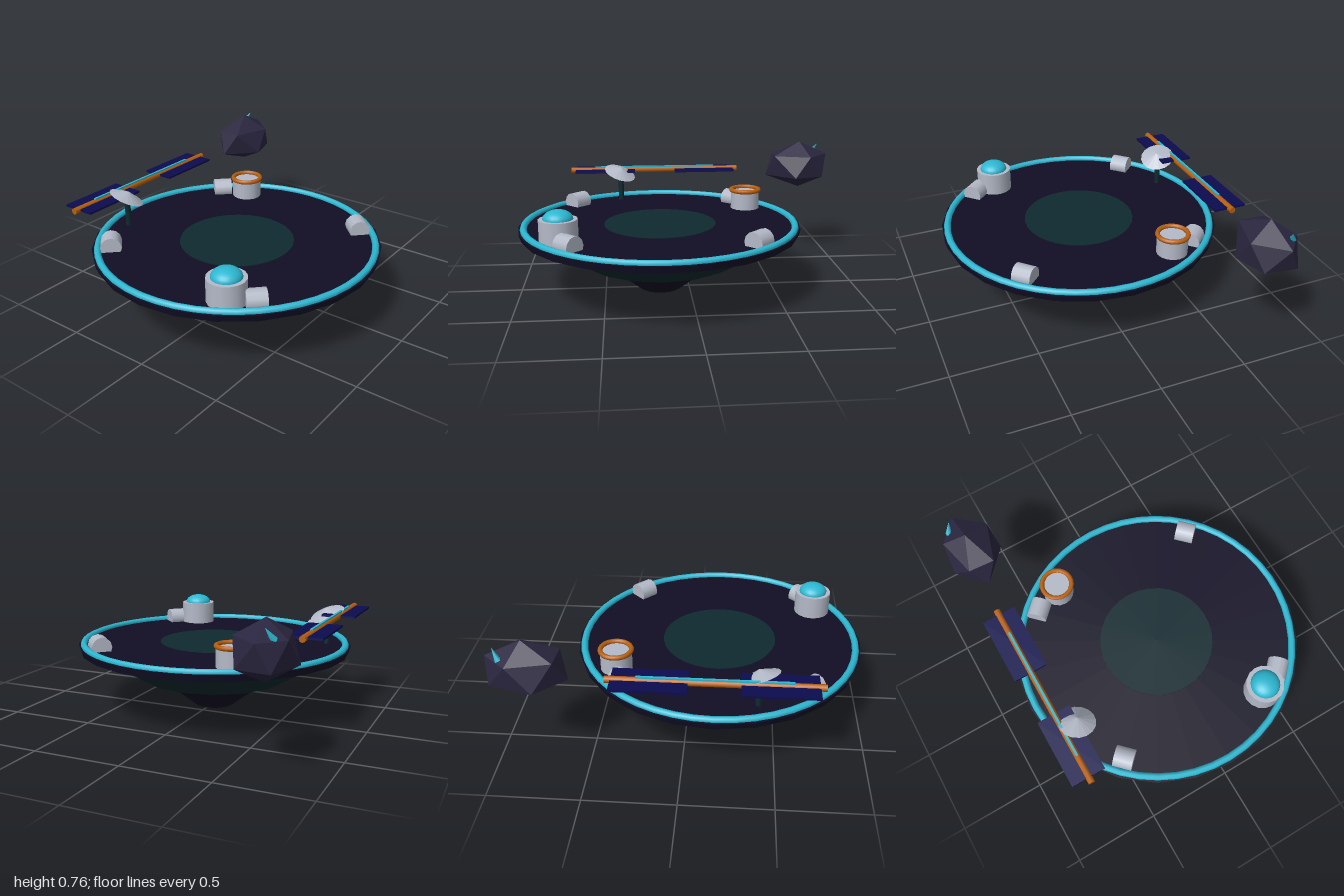
import * as THREE from 'three';
import { ConvexGeometry } from 'three/addons/geometries/ConvexGeometry.js';

const makeMaterial = (name, color, flatShading = false, side = THREE.FrontSide) => {
  const m = new THREE.MeshStandardMaterial({ color, flatShading, side });
  m.name = name;
  return m;
};

export function createModel() {
  const hull = makeMaterial('dark hull', 0x110e26);
  const teal = makeMaterial('dark teal', 0x0f2a30);
  const cyan = makeMaterial('cyan glow', 0x2cb8d2);
  const grey = makeMaterial('pale metal', 0xb4bac8);
  const dishGrey = makeMaterial('dish metal', 0xb4bac8, true, THREE.DoubleSide);
  const orange = makeMaterial('orange metal', 0xb8600f);
  const navy = makeMaterial('solar navy', 0x0c0c50);
  const rock = makeMaterial('rock', 0x2a2640, true);

  const model = new THREE.Group();
  const add = (parent, name, geometry, material, x = 0, y = 0, z = 0) => {
    const mesh = new THREE.Mesh(geometry, material);
    mesh.name = name;
    mesh.position.set(x, y, z);
    parent.add(mesh);
    return mesh;
  };
  // upright cylinder given by its bottom and top heights
  const drum = (parent, name, rTop, rBottom, y0, y1, sides, material, x = 0, z = 0) =>
    add(parent, name, new THREE.CylinderGeometry(rTop, rBottom, y1 - y0, sides), material, x, (y0 + y1) / 2, z);

  // Platform, all parts centred on its own axis
  const station = new THREE.Group();
  station.name = 'station';
  station.position.x = -0.172;
  model.add(station);
  drum(station, 'deck', 0.828, 0.815, 0.355, 0.395, 24, hull);
  drum(station, 'deckCentre', 0.33, 0.33, 0.393, 0.399, 32, teal);
  drum(station, 'upperHull', 0.73, 0.45, 0.18, 0.345, 16, teal);
  drum(station, 'lowerHull', 0.35, 0.12, 0, 0.18, 12, hull);
  add(station, 'rimLight', new THREE.TorusGeometry(0.795, 0.02, 8, 48), cyan, 0, 0.4, 0).rotation.x = Math.PI / 2;

  // Four docking drums lying along the rim
  for (let i = 0; i < 4; i++) {
    const a = Math.PI / 4 + (i * Math.PI) / 2;
    const dock = new THREE.Group();
    dock.name = 'dockingPort';
    dock.position.set(Math.sin(a) * 0.717, 0.42, Math.cos(a) * 0.717);
    dock.rotation.y = a;
    add(dock, 'portDrum', new THREE.CylinderGeometry(0.06, 0.06, 0.11, 12), grey).rotation.z = Math.PI / 2;
    station.add(dock);
  }

  // Domed habitat
  drum(model, 'habitat', 0.107, 0.107, 0.39, 0.53, 16, grey, -0.737, 0.37);
  const dome = new THREE.SphereGeometry(0.083, 20, 8, 0, Math.PI * 2, 0, Math.PI / 2);
  add(model, 'habitatDome', dome, cyan, -0.737, 0.53, 0.37).scale.y = 0.62;

  // Ringed tank
  drum(model, 'tank', 0.09, 0.09, 0.39, 0.505, 16, grey, 0.39, -0.35);
  add(model, 'tankRing', new THREE.TorusGeometry(0.087, 0.014, 8, 24), orange, 0.39, 0.512, -0.35).rotation.x = Math.PI / 2;

  // Antenna mast and tilted dish
  drum(model, 'antennaMast', 0.017, 0.017, 0.39, 0.58, 8, teal, -0.4, -0.645);
  const dish = add(model, 'antennaDish', new THREE.ConeGeometry(0.105, 0.04, 16, 1, true), dishGrey, -0.4, 0.593, -0.637);
  dish.rotation.set(0.3, 0, -0.32);

  // Solar array: boom, light strip and two panels
  add(model, 'solarBoom', new THREE.CylinderGeometry(0.019, 0.019, 1.12, 8), orange, -0.172, 0.58, -0.73).rotation.z = Math.PI / 2;
  add(model, 'boomLight', new THREE.BoxGeometry(0.8, 0.009, 0.014), cyan, -0.172, 0.6, -0.73);
  for (const x of [-0.503, 0.16])
    add(model, 'solarPanel', new THREE.BoxGeometry(0.395, 0.012, 0.197), navy, x, 0.58, -0.732);

  // Drifting rock: two poles and two staggered rings of five
  const upper = [[1, -0.7], [0.86, -0.54], [0.63, -0.61], [0.64, -0.76], [0.87, -0.815]];
  const lower = [[0.583, -0.69], [0.76, -0.525], [0.95, -0.585], [0.975, -0.77], [0.74, -0.835]];
  const points = [new THREE.Vector3(0.81, 0.765, -0.685), new THREE.Vector3(0.81, 0.455, -0.685)];
  for (const [x, z] of upper) points.push(new THREE.Vector3(x, 0.677, z));
  for (const [x, z] of lower) points.push(new THREE.Vector3(x, 0.538, z));
  add(model, 'asteroid', new ConvexGeometry(points), rock);

  // Crystal spike on the rock
  const crystal = add(model, 'crystal', new THREE.ConeGeometry(0.02, 0.08, 5), cyan, 0.927, 0.712, -0.743);
  crystal.quaternion.setFromUnitVectors(new THREE.Vector3(0, 1, 0), new THREE.Vector3(0.035, 0.06, 0.03).normalize());

  return model;
}
